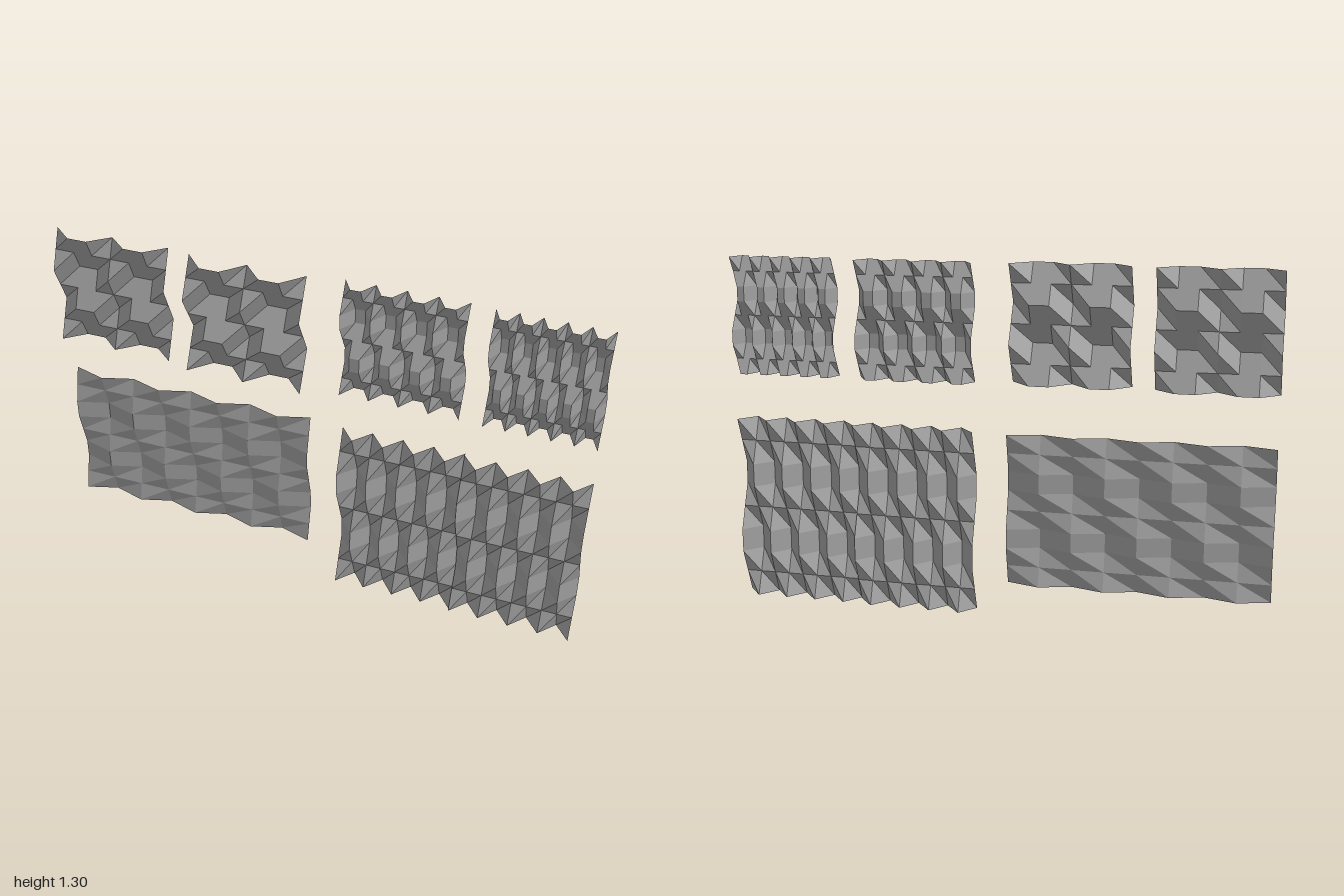
import * as THREE from 'three';

const grey = new THREE.MeshStandardMaterial({ color: 0xa0a0a0, side: THREE.DoubleSide, flatShading: true });
grey.name = 'paper grey';

// Depth patterns across a pleat and down the rows (-1 valley, 1 ridge, 0 level)
const SHARP = [-1, 1];
const FLAT_TOP = [-1, 1, 1];
const SHORT_WAVE = [1, 0, -1, 0];
const LONG_WAVE = [1, 0, -1, -1, 0, 1];

// A folded sheet: pleats whose depth reverses along the rows, each cell split by a rising diagonal
function foldedPanel({ name, x0, x1, y0, y1, z, depth, pleats, profile, rows, wave }) {
  const cols = pleats * profile.length;
  const corner = (i, j) => [
    x0 + (x1 - x0) * i / cols,
    y1 - (y1 - y0) * j / rows,
    z + depth * profile[i % profile.length] * wave[j % wave.length],
  ];
  const points = [];
  for (let j = 0; j < rows; j++) {
    for (let i = 0; i < cols; i++) {
      const tl = corner(i, j), tr = corner(i + 1, j);
      const bl = corner(i, j + 1), br = corner(i + 1, j + 1);
      points.push(...tl, ...bl, ...tr, ...bl, ...br, ...tr);
    }
  }
  const geometry = new THREE.BufferGeometry();
  geometry.setAttribute('position', new THREE.Float32BufferAttribute(points, 3));
  geometry.computeVertexNormals();
  const mesh = new THREE.Mesh(geometry, grey);
  mesh.name = name;
  return mesh;
}

export function createModel() {
  const group = new THREE.Group();
  group.name = 'foldedPanels';

  // Upper row: two coarse and two fine square panels
  const upper = { y0: 0.87, y1: 1.305, profile: FLAT_TOP };
  const coarse = { ...upper, pleats: 2, rows: 6, wave: SHORT_WAVE };
  const fine = { ...upper, rows: 8, wave: LONG_WAVE, depth: 0.03 };
  // Lower row: one shallow wide panel and one deep panel made of two halves
  const deep = { y0: 0, y1: 0.695, depth: 0.034, pleats: 4, profile: SHARP, rows: 8, wave: LONG_WAVE };

  const panels = [
    { ...coarse, name: 'coarsePanelOuter', x0: -1, x1: -0.565, z: -0.008, depth: 0.031 },
    { ...coarse, name: 'coarsePanelInner', x0: -0.48, x1: -0.045, z: 0.015, depth: 0.039 },
    { ...fine, name: 'finePanelInner', x0: 0.085, x1: 0.52, z: -0.02, pleats: 4 },
    { ...fine, name: 'finePanelOuter', x0: 0.605, x1: 1, z: -0.012, pleats: 5 },
    { name: 'shallowPanel', x0: -1, x1: -0.045, y0: 0.13, y1: 0.695, z: -0.037, depth: 0.018,
      pleats: 4, profile: SHARP, rows: 8, wave: LONG_WAVE },
    { ...deep, name: 'deepPanelInnerHalf', x0: 0.085, x1: 0.5425, z: -0.008 },
    { ...deep, name: 'deepPanelOuterHalf', x0: 0.5425, x1: 1, z: 0.002 },
  ];
  for (const panel of panels) group.add(foldedPanel(panel));
  return group;
}
